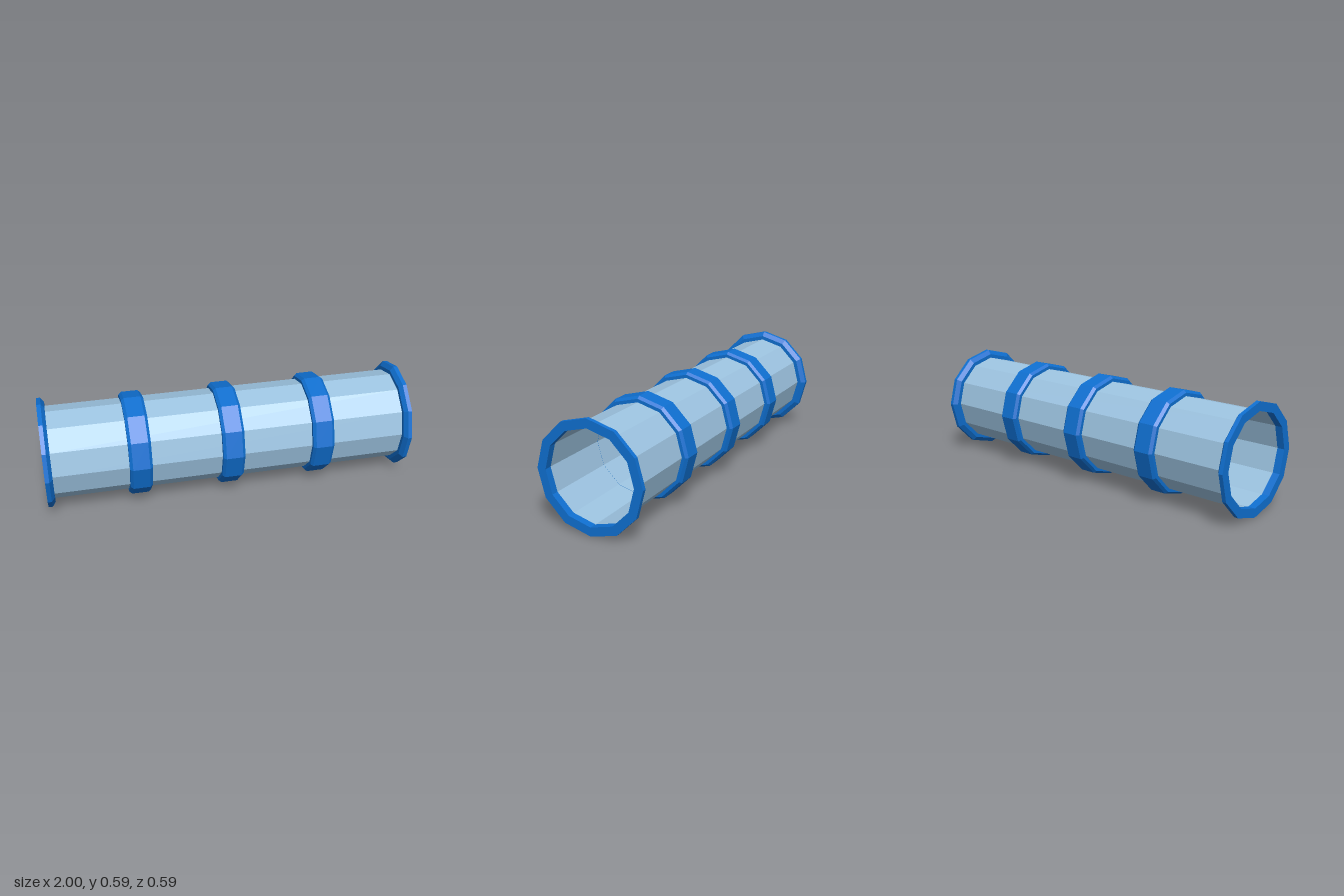
import * as THREE from 'three';

const SIDES = 12;
const AXIS_Y = 0.298;

// Faceted ring turned around the x axis; profile is [radius, x] pairs
function turned(name, profile, material, x = 0, flip = false) {
  const points = profile.map(([r, a]) => new THREE.Vector2(r, a));
  const geometry = new THREE.LatheGeometry(points, SIDES);
  geometry.rotateZ(flip ? Math.PI / 2 : -Math.PI / 2);
  const mesh = new THREE.Mesh(geometry, material);
  mesh.name = name;
  mesh.position.set(x, AXIS_Y, 0);
  return mesh;
}

export function createModel() {
  const group = new THREE.Group();
  group.name = 'tunnelTube';

  const paleBlue = new THREE.MeshStandardMaterial({
    color: 0x9cc3e0, flatShading: true, side: THREE.DoubleSide,
  });
  const blue = new THREE.MeshStandardMaterial({ color: 0x0f6fd0, flatShading: true });

  // Open thin-walled tube
  group.add(turned('tube', [[0.25, -0.97], [0.25, 0.97]], paleBlue));

  // Chamfered bands around the tube
  const band = [[0.249, -0.06], [0.268, -0.06], [0.281, -0.045],
    [0.281, 0.045], [0.268, 0.06], [0.249, 0.06]];
  [-0.5, 0, 0.5].forEach((x, i) => group.add(turned(`band${i + 1}`, band, blue, x)));

  // End flanges, chamfered towards the middle, with a lip lining the opening
  const flange = [[0.249, -0.04], [0.272, -0.04], [0.296, -0.022],
    [0.296, 0], [0.248, 0], [0.248, -0.04], [0.249, -0.04]];
  group.add(turned('leftFlange', flange, blue, 1));
  group.add(turned('rightFlange', flange, blue, -1, true));

  return group;
}
